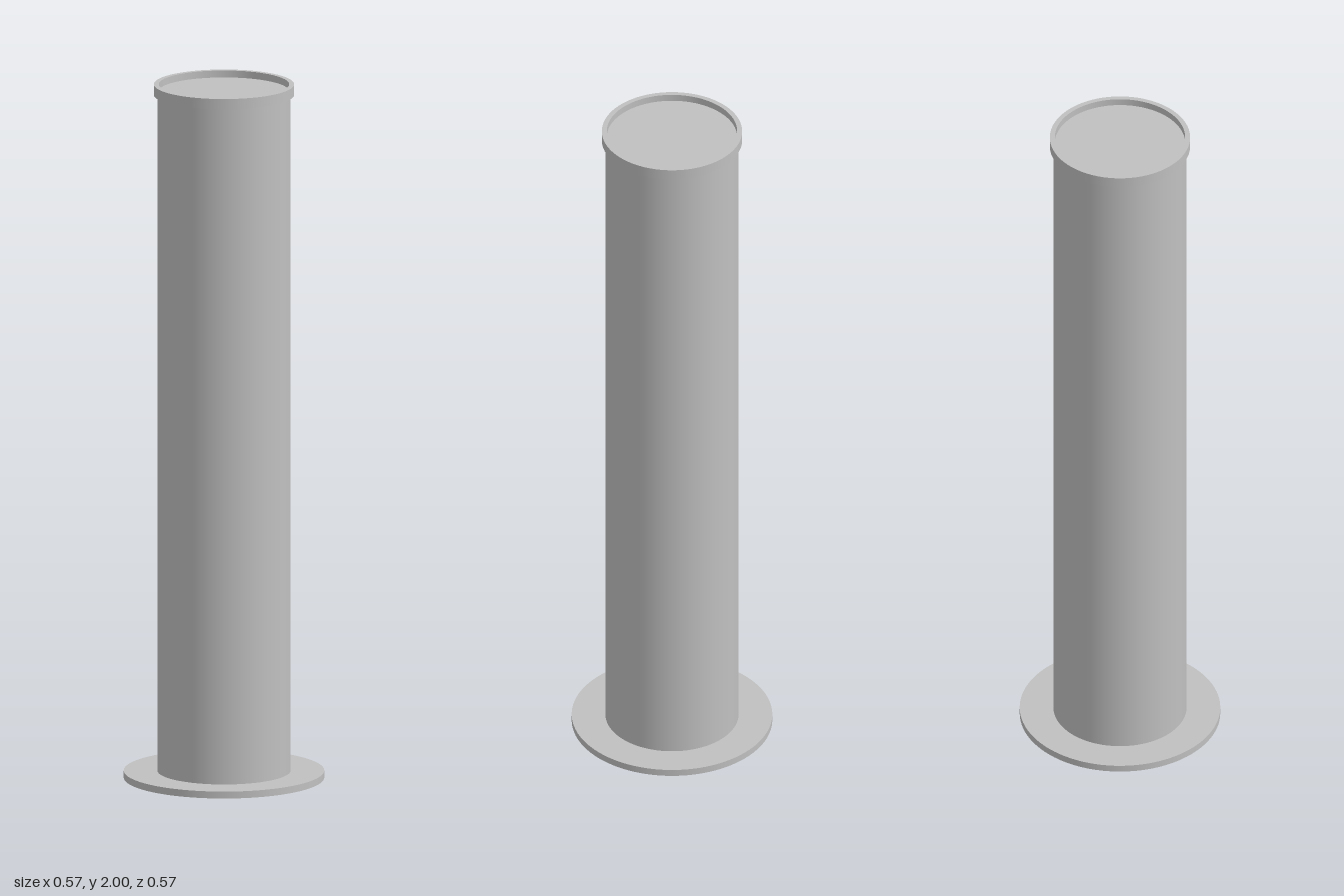
import * as THREE from 'three';

const SEGMENTS = 96;

// Sharp-edged solid of revolution: each profile edge is its own smooth band.
function turned(name, profile, material) {
  const part = new THREE.Group();
  part.name = name;
  for (let i = 0; i < profile.length - 1; i++) {
    const points = [profile[i], profile[i + 1]].map(([r, y]) => new THREE.Vector2(r, y));
    const band = new THREE.Mesh(new THREE.LatheGeometry(points, SEGMENTS), material);
    band.name = `${name}Face${i + 1}`;
    part.add(band);
  }
  return part;
}

// Rectangular ring section, listed counter-clockwise so faces point outward.
const ring = (inner, outer, bottom, top) => [
  [inner, bottom], [outer, bottom], [outer, top], [inner, top], [inner, bottom],
];

export function createModel() {
  const model = new THREE.Group();
  model.name = 'flangedTube';
  const metal = new THREE.MeshStandardMaterial({ color: 0xc0c0c0 });
  metal.name = 'grey metal';

  // Flat base flange with an open bore
  model.add(turned('baseFlange', ring(0.17, 0.283, 0, 0.02), metal));

  // Hollow column, open at the bottom
  model.add(turned('tube', [[0.17, 0.02], [0.188, 0.02], [0.188, 1.97], [0.17, 1.97], [0.17, 0.02]], metal));

  // Lid with a raised rim around a shallow recess
  model.add(turned('lid', [
    [0, 1.97], [0.198, 1.97], [0.198, 2], [0.184, 2], [0.184, 1.98], [0, 1.98],
  ], metal));

  return model;
}
